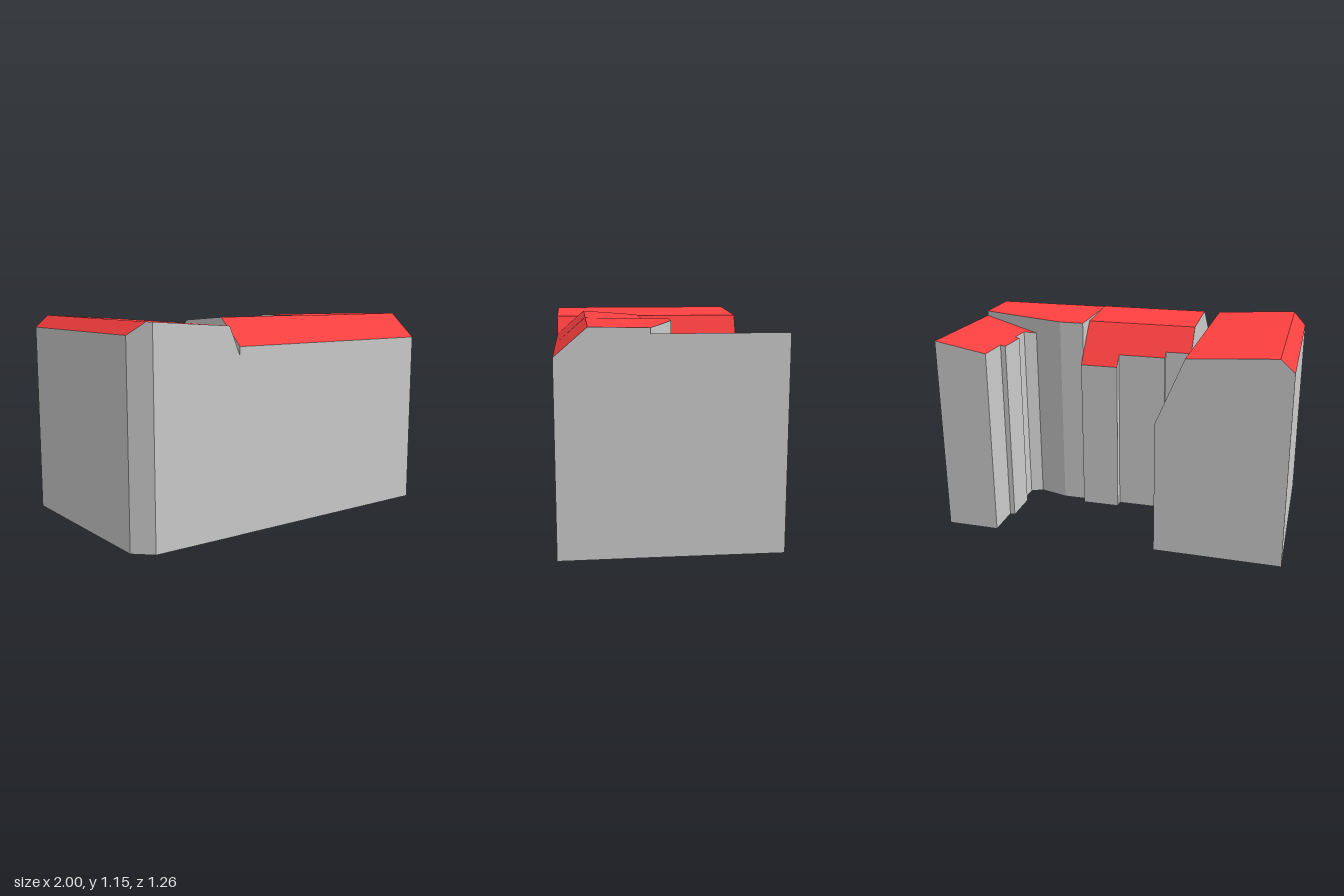
import * as THREE from 'three';

const wallMat = new THREE.MeshStandardMaterial({ color: 0xcccccc, flatShading: true });
const roofMat = new THREE.MeshStandardMaterial({ color: 0xff4040, flatShading: true });

// The plan is turned slightly: these measure across and along it
const across = ([x, z]) => x + 0.05 * z;
const along = ([x, z]) => z - 0.05 * x;

// Height of a roof profile [[position, y], ...] at a position; end slopes continue
function heightAt(profile, u) {
  let i = 0;
  while (i < profile.length - 2 && u > profile[i + 1][0]) i++;
  const [a, ya] = profile[i], [b, yb] = profile[i + 1];
  return ya + ((u - a) / (b - a)) * (yb - ya);
}

const mix = (p, q, t) => [p[0] + (q[0] - p[0]) * t, p[1] + (q[1] - p[1]) * t];

// Insert a point wherever the outline crosses a roof break line
function splitOutline(outline, coord, breaks) {
  const result = [];
  outline.forEach((p, i) => {
    const q = outline[(i + 1) % outline.length];
    const a = coord(p), b = coord(q);
    const cuts = breaks.map(u => (u - a) / (b - a)).filter(t => t > 1e-4 && t < 1 - 1e-4);
    result.push(p, ...cuts.sort((s, t) => s - t).map(t => mix(p, q, t)));
  });
  return result;
}

function meshFrom(name, positions, material) {
  const geometry = new THREE.BufferGeometry();
  geometry.setAttribute('position', new THREE.Float32BufferAttribute(positions, 3));
  geometry.computeVertexNormals();
  const mesh = new THREE.Mesh(geometry, material);
  mesh.name = name;
  return mesh;
}

// Fill a plan polygon with triangles facing up (or down)
function fill(out, polygon, yOf, up) {
  const pts = polygon.map(([x, z]) => new THREE.Vector2(x, z));
  for (const tri of THREE.ShapeUtils.triangulateShape(pts, [])) {
    const [a, b, c] = tri.map(i => polygon[i]);
    const turn = (b[0] - a[0]) * (c[1] - a[1]) - (b[1] - a[1]) * (c[0] - a[0]);
    const order = (turn < 0) === up ? [a, b, c] : [a, c, b];
    for (const p of order) out.push(p[0], yOf(p), p[1]);
  }
}

// A walled block under a folded roof
function block(name, outline, coord, profile) {
  const breaks = profile.slice(1, -1).map(p => p[0]);
  const yOf = p => heightAt(profile, coord(p));
  const ring = splitOutline(outline, coord, breaks);
  const walls = [], roof = [];

  // outlines run clockwise from above, so walls face outward
  ring.forEach((p, i) => {
    const q = ring[(i + 1) % ring.length];
    const P = [p[0], 0, p[1]], Q = [q[0], 0, q[1]];
    const PT = [p[0], yOf(p), p[1]], QT = [q[0], yOf(q), q[1]];
    walls.push(...P, ...QT, ...Q, ...P, ...PT, ...QT);
  });
  fill(walls, outline, () => 0, false);

  // one roof facet between each pair of break lines
  const limits = [-Infinity, ...breaks, Infinity];
  for (let i = 0; i < limits.length - 1; i++) {
    const facet = ring.filter(p => coord(p) > limits[i] - 1e-6 && coord(p) < limits[i + 1] + 1e-6);
    fill(roof, facet, yOf, true);
  }

  const group = new THREE.Group();
  group.name = name;
  group.add(meshFrom(name + 'Walls', walls, wallMat), meshFrom(name + 'Roof', roof, roofMat));
  return group;
}

export function createModel() {
  const model = new THREE.Group();
  model.name = 'building';

  // Long side wing: narrow outer slope, wide shallow top, steep inner slope
  model.add(block('longWing', [
    [-0.95, -0.63], [-0.245, -0.59], [-0.255, -0.38], [-0.31, -0.383], [-0.32, -0.235],
    [-0.348, -0.237], [-0.36, -0.045], [-0.39, 0.562], [-0.91, 0.535], [-1.0, 0.44],
  ], across, [[-0.98, 1.08], [-0.905, 1.147], [-0.43, 1.115], [-0.2745, 0.75]]));

  // Front range, with stepped bays and a slope towards the courtyard
  model.add(block('frontRange', [
    [-0.36, -0.045], [-0.21, -0.038], [-0.209, -0.061], [0.068, -0.047], [0.07, -0.096],
    [0.29, -0.085], [0.255, 0.592], [-0.39, 0.56],
  ], along, [[-0.0995, 0.90], [0.077, 1.127], [0.413, 1.152], [0.579, 1.007]]));

  // Corner range, almost flat on top with a diagonal rear edge
  model.add(block('cornerRange', [
    [0.288, -0.038], [0.43, -0.03], [0.6, 0.03], [0.963, 0.165], [0.942, 0.626], [0.255, 0.592],
  ], along, [[-0.06, 1.14], [0.413, 1.149], [0.579, 1.007]]));

  // Short rear wing with a single roof falling to the courtyard
  model.add(block('shortWing', [
    [0.6, 0.03], [0.668, 0.0], [0.675, -0.135], [0.649, -0.138], [0.66, -0.34],
    [0.69, -0.337], [0.70, -0.535], [1.0, -0.517], [0.963, 0.165],
  ], across, [[0.6, 1.05], [0.972, 1.115]]));

  return model;
}
